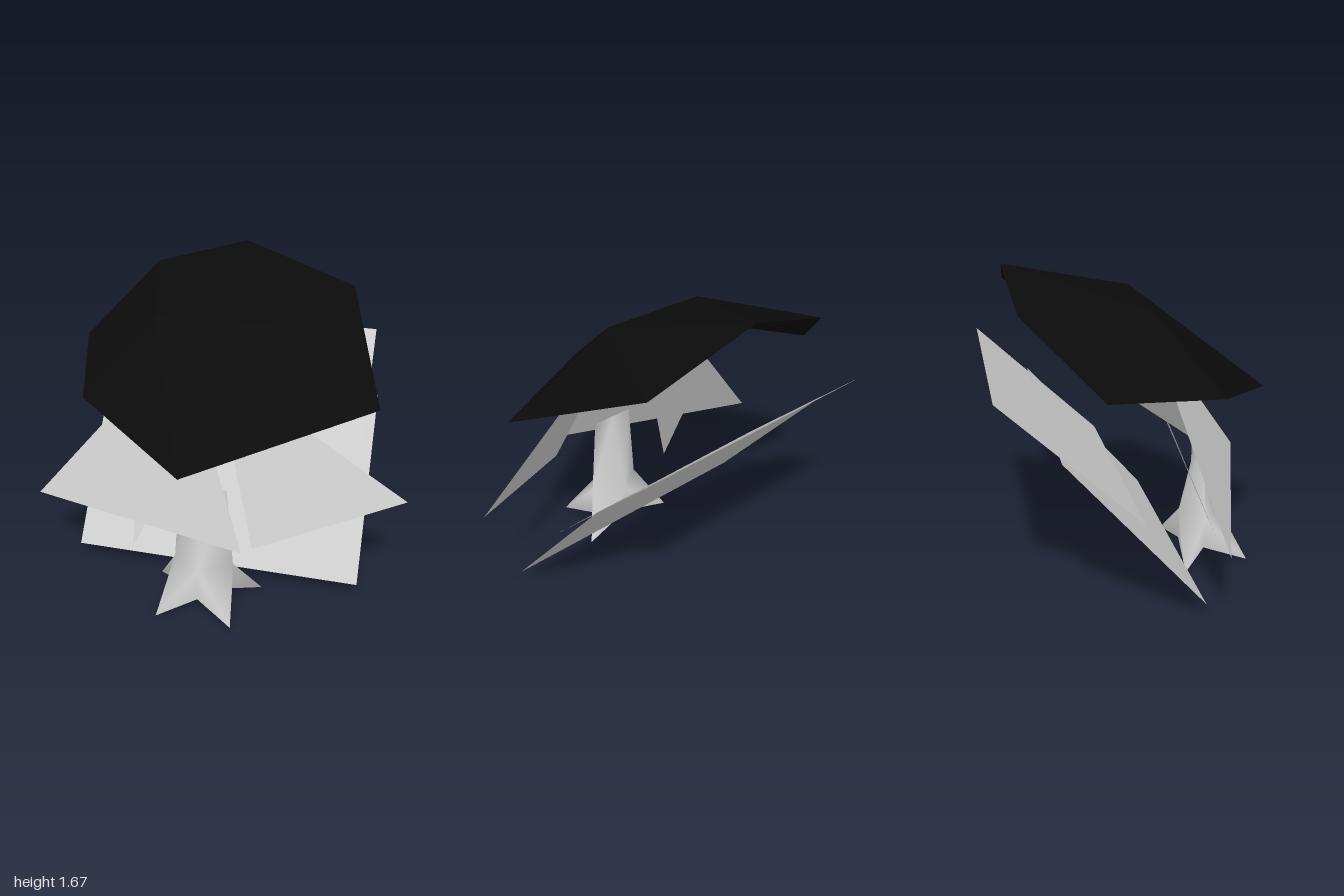
import * as THREE from 'three';

const make = (name, hex) => new THREE.MeshStandardMaterial({ name, color: hex, side: THREE.DoubleSide });

// Mesh from corner points and triangles; smooth shares normals between faces
function surface(name, points, faces, material, smooth = false) {
  let geo = new THREE.BufferGeometry();
  geo.setAttribute('position', new THREE.Float32BufferAttribute(points.flat(), 3));
  geo.setIndex(faces.flat());
  if (!smooth) geo = geo.toNonIndexed();
  geo.computeVertexNormals();
  const mesh = new THREE.Mesh(geo, material);
  mesh.name = name;
  return mesh;
}

export function createModel() {
  const group = new THREE.Group();
  group.name = 'canopyTree';
  const grey = make('light grey', 0xcccccc);
  const black = make('near black', 0x0b0b0b);

  // Trunk: four root tips, a notch between each pair, tapering to a ridge
  const waist = [[-0.025, 0.235, 0.52], [0.135, 0.24, 0.4], [-0.025, 0.24, 0.29], [-0.185, 0.24, 0.4]];
  const notches = [[-0.028, 0.07, 0.53], [0.13, 0.07, 0.395], [-0.025, 0.07, 0.29], [-0.18, 0.07, 0.395]];
  const tips = [[0.175, 0, 0.63], [0.265, 0, 0.26], [-0.31, 0, 0.26], [-0.23, 0, 0.63]];
  const ridge = [[-0.025, 0.69, 0.397], [0.1, 0.69, 0.395], [-0.025, 0.69, 0.393], [-0.15, 0.69, 0.395]];
  const trunkFaces = [];
  for (let i = 0; i < 4; i++) {
    const j = (i + 1) % 4;
    const [m, mj, n, nj, t, r, rj] = [i, j, 4 + i, 4 + j, 8 + i, 12 + i, 12 + j];
    trunkFaces.push([n, t, m], [t, nj, mj], [t, mj, m], [m, mj, rj], [m, rj, r]);
  }
  group.add(surface('trunk', [...waist, ...notches, ...tips, ...ridge], trunkFaces, grey, true));

  // Two sloping sheets behind the trunk
  const quad = [[0, 1, 2], [0, 2, 3]];
  group.add(surface('lowerBackSheet',
    [[-0.805, 0.09, 0.23], [0.78, 0.09, 0.23], [0.76, 0.895, -0.46], [-0.82, 0.895, -0.47]], quad, grey));
  group.add(surface('upperBackSheet',
    [[-0.73, 0.51, -0.06], [0.715, 0.505, -0.06], [0.7, 1.17, -0.75], [-0.74, 1.17, -0.76]], quad, grey));

  // Triangular leaves hanging beneath the canopy
  const leaves = {
    rightLeaf: [[-1, 0.44, 0.28], [0.24, 0.52, 0.67], [-0.23, 1.35, 0.07]],
    leftLeaf: [[0.27, 0.47, 0.555], [1, 0.62, 0.17], [0, 1.32, 0.25]],
    smallLeaf: [[-0.425, 0.25, 0.39], [-0.12, 0.9, 0.15], [-0.455, 0.905, 0.12]],
  };
  for (const [name, corners] of Object.entries(leaves)) {
    group.add(surface(name, corners, [[0, 1, 2]], grey));
  }

  // Faceted canopy: seven rim corners rising to a short ridge (points 7 and 8)
  const canopy = [
    [-0.55, 1.52, -0.62], [-0.04, 1.67, -0.65], [0.575, 1.475, -0.6], [0.82, 1.12, 0.15],
    [-0.05, 0.95, 0.75], [-0.67, 1.1, 0.34], [-0.87, 1.18, -0.27],
    [-0.36, 1.46, 0.06], [0.25, 1.48, 0.06],
  ];
  const canopyFaces = [[7, 8, 1], [7, 4, 8]];
  for (let i = 0; i < 7; i++) {
    canopyFaces.push([i >= 1 && i <= 3 ? 8 : 7, (i + 1) % 7, i]);
  }
  group.add(surface('canopy', canopy, canopyFaces, black));

  return group;
}
